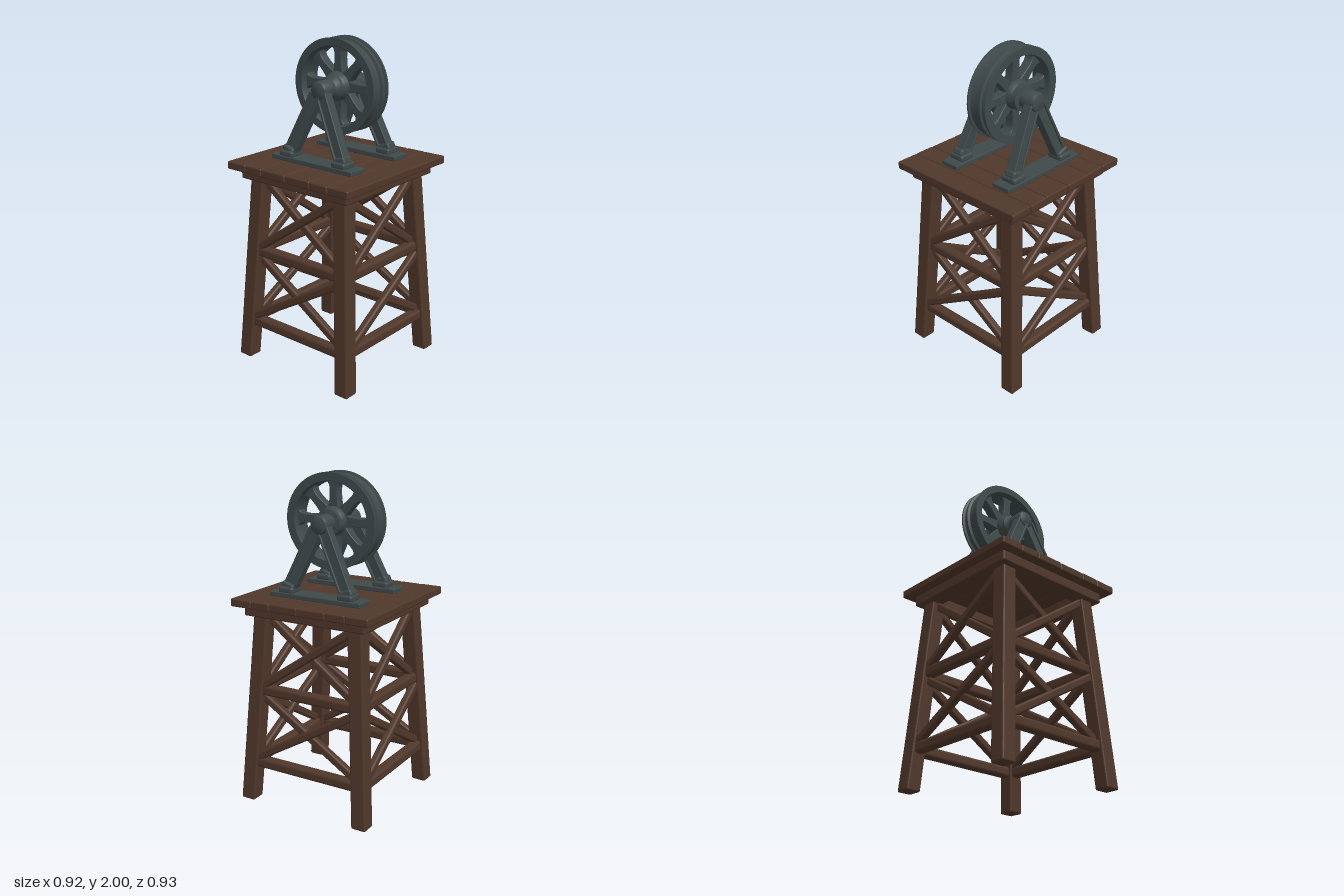
import * as THREE from 'three';
import { toCreasedNormals } from 'three/addons/utils/BufferGeometryUtils.js';
import { RoundedBoxGeometry } from 'three/addons/geometries/RoundedBoxGeometry.js';

const V = (x, y, z) => new THREE.Vector3(x, y, z);

export function createModel() {
  const wood = new THREE.MeshStandardMaterial({ name: 'dark wood', color: 0x50372a });
  const iron = new THREE.MeshStandardMaterial({ name: 'grey iron', color: 0x3f494a });
  const model = new THREE.Group();
  model.name = 'pulleyTower';

  const add = (parent, geo, mat, name) => {
    const mesh = new THREE.Mesh(geo, mat);
    mesh.name = name;
    parent.add(mesh);
    return mesh;
  };
  const block = (parent, mat, name, w, h, d, x, y, z, r = 0.008) => {
    const mesh = add(parent, new RoundedBoxGeometry(w, h, d, 2, r), mat, name);
    mesh.position.set(x, y, z);
    return mesh;
  };
  // bar from a to b: w across, d along the facing normal
  const bar = (parent, mat, name, a, b, w, d, r, facing = V(0, 0, 1)) => {
    const dir = b.clone().sub(a), len = dir.length();
    dir.normalize();
    const xAxis = dir.clone().cross(facing).normalize();
    const zAxis = xAxis.clone().cross(dir);
    const mesh = add(parent, new RoundedBoxGeometry(w, len, d, 2, r), mat, name);
    mesh.quaternion.setFromRotationMatrix(new THREE.Matrix4().makeBasis(xAxis, dir, zAxis));
    mesh.position.copy(a).add(b).multiplyScalar(0.5);
    return mesh;
  };
  // turned part around the z axis, profile of [radius, z]
  const turned = (profile, segments = 48) => {
    const pts = profile.map(([r, z]) => new THREE.Vector2(r, z));
    return toCreasedNormals(new THREE.LatheGeometry(pts, segments).rotateX(Math.PI / 2), 0.6);
  };

  // timber trestle: four identical sides, each with one leaning leg
  const lean = y => 0.394 - 0.064 * y;
  for (let i = 0; i < 4; i++) {
    const side = new THREE.Group();
    side.name = 'towerSide';
    side.rotation.y = i * Math.PI / 2;
    model.add(side);

    const legGeo = new RoundedBoxGeometry(0.094, 1.2, 0.094, 2, 0.01).translate(0, 0.6, 0);
    const p = legGeo.attributes.position;
    for (let k = 0; k < p.count; k++) {
      const c = lean(p.getY(k));
      p.setX(k, p.getX(k) + c);
      p.setZ(k, p.getZ(k) + c);
    }
    legGeo.computeVertexNormals();
    add(side, legGeo, wood, 'leg');

    for (const y of [0.248, 0.712]) {
      const c = lean(y);
      block(side, wood, 'rail', 2 * c - 0.04, 0.066, 0.066, 0, y, c, 0.02);
    }
    for (const [y0, y1] of [[0.28, 0.67], [0.74, 1.16]]) {
      for (const s of [-1, 1]) {
        const c0 = lean(y0), c1 = lean(y1), off = s * 0.012;
        bar(side, wood, 'crossBrace', V(-s * (c0 - 0.035), y0, c0 + off),
          V(s * (c1 - 0.025), y1, c1 + off), 0.05, 0.046, 0.014);
      }
    }
    block(side, wood, 'topBeam', 0.81, 0.066, 0.11, 0, 1.203, 0.35, 0.01);
  }

  // deck boards
  const edges = [-0.462, -0.315, -0.187, 0, 0.185, 0.315, 0.462];
  for (let i = 0; i < 6; i++) {
    const w = edges[i + 1] - edges[i];
    block(model, wood, 'deckBoard', w - 0.002, 0.048, 0.93 - (i % 2) * 0.004,
      (edges[i] + edges[i + 1]) / 2, 1.255, 0, 0.009);
  }

  // wheel with three flanges and two rope grooves
  const wheel = new THREE.Group();
  wheel.name = 'wheel';
  wheel.position.set(0, 1.717, 0);
  wheel.scale.y = 0.953;
  model.add(wheel);
  add(wheel, turned([
    [0.246, -0.103], [0.297, -0.103], [0.297, -0.093], [0.283, -0.088], [0.283, -0.066],
    [0.296, -0.061], [0.296, -0.05], [0.28, -0.044], [0.276, -0.01], [0.283, 0.022],
    [0.297, 0.027], [0.297, 0.036], [0.25, 0.036], [0.242, 0.02], [0.242, -0.088], [0.246, -0.103],
  ], 64), iron, 'rim');
  add(wheel, turned([
    [0, -0.1], [0.075, -0.1], [0.09, -0.075], [0.09, 0.01], [0.075, 0.035], [0, 0.035],
  ]), iron, 'hub');

  // spokes flare out at hub and rim
  const spoke = new THREE.Shape();
  spoke.moveTo(-0.035, 0.07);
  spoke.quadraticCurveTo(-0.018, 0.15, -0.024, 0.205);
  spoke.quadraticCurveTo(-0.03, 0.235, -0.055, 0.245);
  spoke.lineTo(0.055, 0.245);
  spoke.quadraticCurveTo(0.03, 0.235, 0.024, 0.205);
  spoke.quadraticCurveTo(0.018, 0.15, 0.035, 0.07);
  spoke.closePath();
  const spokeGeo = new THREE.ExtrudeGeometry(spoke, {
    depth: 0.04, bevelEnabled: true, bevelThickness: 0.01, bevelSize: 0.004, bevelSegments: 2, curveSegments: 6,
  }).translate(0, 0, -0.053);
  for (let i = 0; i < 8; i++) add(wheel, spokeGeo, iron, 'spoke').rotation.z = i * Math.PI / 4;

  // bearings on both sides of the wheel
  add(model, turned([
    [0, 0.03], [0.076, 0.03], [0.076, 0.05], [0.062, 0.064], [0.055, 0.075],
    [0.058, 0.155], [0.05, 0.172], [0.03, 0.18], [0, 0.182],
  ], 32), iron, 'frontBearing').position.y = 1.712;
  add(model, turned([
    [0, -0.24], [0.03, -0.238], [0.05, -0.23], [0.058, -0.212], [0.055, -0.13],
    [0.08, -0.125], [0.08, -0.098], [0, -0.098],
  ], 32), iron, 'backBearing').position.y = 1.712;

  // A-frames: base plate, feet and flanged legs
  const frames = [['frontFrame', 0.183, 0.188, 0.148], ['backFrame', -0.223, -0.226, -0.198]];
  for (const [name, plateZ, footZ, topZ] of frames) {
    const frame = new THREE.Group();
    frame.name = name;
    model.add(frame);
    block(frame, iron, 'basePlate', 0.615, 0.03, 0.124, 0, 1.292, plateZ, 0.006);
    for (const s of [-1, 1]) {
      block(frame, iron, 'foot', 0.1, 0.04, 0.105, s * 0.2, 1.32, footZ, 0.014);
      const a = V(s * 0.205, 1.31, footZ), b = V(s * 0.022, 1.69, topZ);
      bar(frame, iron, 'frameLeg', a, b, 0.07, 0.036, 0.005);
      for (const e of [-1, 1]) {
        const shift = V(e * 0.029, e * s * 0.014, 0);
        bar(frame, iron, 'legFlange', a.clone().add(shift), b.clone().add(shift), 0.016, 0.06, 0.005);
      }
      bar(frame, iron, 'ankle', V(s * 0.205, 1.32, footZ), V(s * 0.19, 1.362, footZ), 0.085, 0.075, 0.014);
    }
  }
  return model;
}
